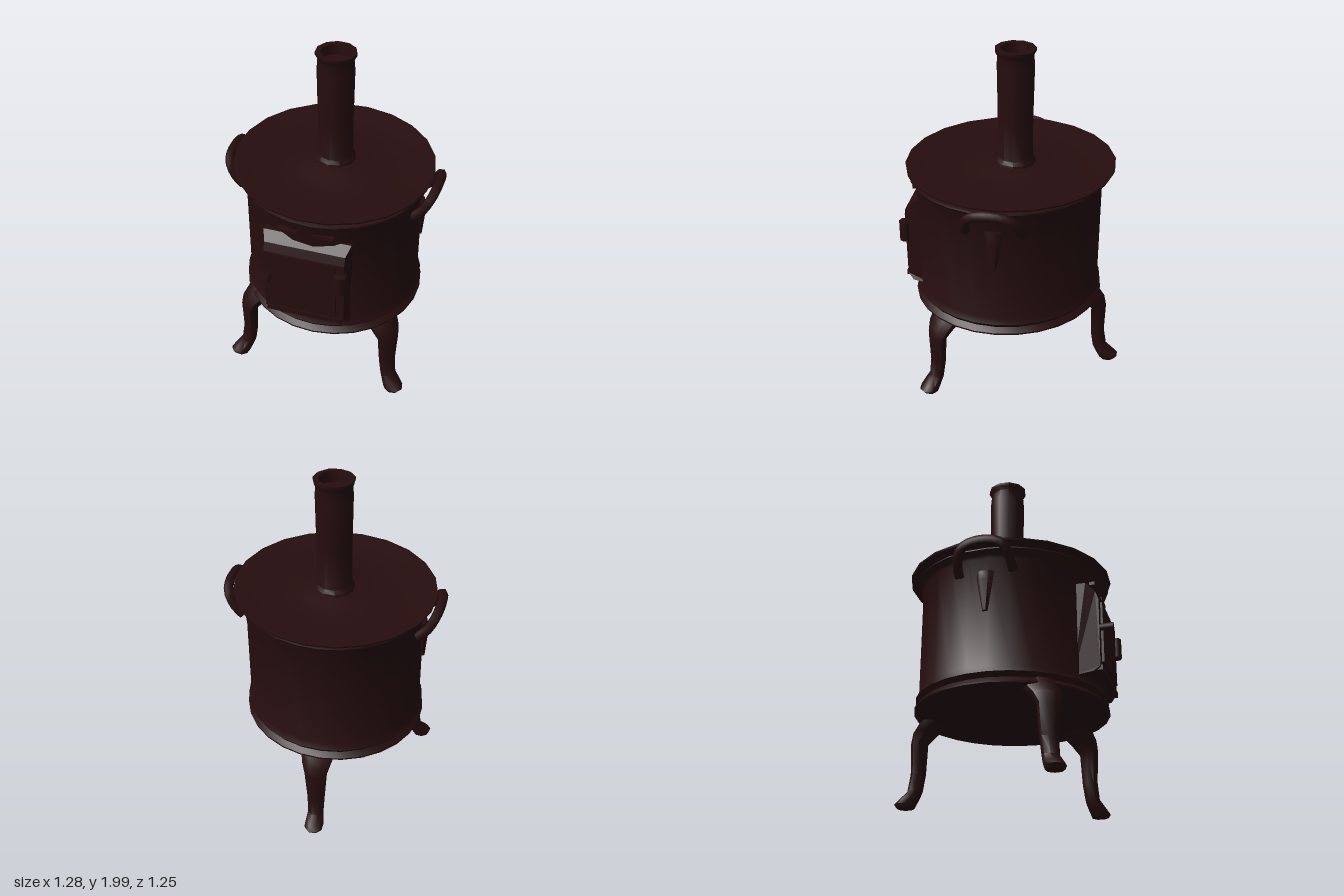
import * as THREE from 'three';
import { toCreasedNormals } from 'three/addons/utils/BufferGeometryUtils.js';

const CX = 0.035, CZ = -0.03; // stove axis
const deg = THREE.MathUtils.degToRad;

// lathe from [radius, y] pairs, listed so that the outside runs upward
function lathe(profile, sides, crease = 0.7) {
  const pts = profile.map(([r, y]) => new THREE.Vector2(r, y));
  return toCreasedNormals(new THREE.LatheGeometry(pts, sides), crease);
}

// loft of horizontal oval rings: [y, inner radius, outer radius, half width], bottom to top
function loft(sections, sides) {
  const pos = [], idx = [];
  const mid = (s) => [s[0], (s[1] + s[2]) / 2, (s[1] + s[2]) / 2, 0];
  const rings = [mid(sections[0]), ...sections, mid(sections[sections.length - 1])];
  for (const [y, r0, r1, w] of rings) {
    for (let i = 0; i < sides; i++) {
      const a = ((i + 0.5) / sides) * Math.PI * 2;
      pos.push(Math.sin(a) * w, y, (r0 + r1) / 2 + (Math.cos(a) * (r1 - r0)) / 2);
    }
  }
  for (let j = 0; j < rings.length - 1; j++) {
    for (let i = 0; i < sides; i++) {
      const a = j * sides + i, b = j * sides + ((i + 1) % sides);
      idx.push(a, b, a + sides, b, b + sides, a + sides);
    }
  }
  const g = new THREE.BufferGeometry();
  g.setAttribute('position', new THREE.Float32BufferAttribute(pos, 3));
  g.setIndex(idx);
  return toCreasedNormals(g, 0.9);
}

export function createModel() {
  const model = new THREE.Group();
  const iron = new THREE.MeshStandardMaterial({ color: 0x260d0e });
  iron.name = 'dark cast iron';

  const add = (parent, name, geometry, x = 0, y = 0, z = 0) => {
    const m = new THREE.Mesh(geometry, iron);
    m.name = name;
    m.position.set(x, y, z);
    parent.add(m);
    return m;
  };
  // group on the stove axis whose +z points outward at the given angle
  const spoke = (name, angle) => {
    const g = new THREE.Group();
    g.name = name;
    g.position.set(CX, 0, CZ);
    g.rotation.y = deg(angle);
    model.add(g);
    return g;
  };

  // drum with flared foot rim, top rim and shallow rounded underside
  const body = add(model, 'body', lathe([
    [0, 0.478], [0.38, 0.48], [0.555, 0.497], [0.556, 0.507], [0.53, 0.535],
    [0.55, 0.562], [0.533, 0.6], [0.533, 1.24], [0.545, 1.262],
    [0.573, 1.282], [0.57, 1.29], [0.52, 1.3],
  ], 28), CX, 0, -0.025);
  body.scale.x = 0.95;

  // thin lid, gently dished and rising to the chimney
  const lid = add(model, 'lid', lathe([
    [0.5, 1.28], [0.54, 1.3], [0.595, 1.317], [0.598, 1.328], [0.57, 1.327],
    [0.5, 1.312], [0.3, 1.308], [0.2, 1.316], [0.13, 1.332], [0.05, 1.335],
  ], 22), CX, 0, -0.035);
  lid.scale.x = 0.96;

  // chimney with base collar, flared lip and recessed top
  add(model, 'chimney', lathe([
    [0.118, 1.31], [0.116, 1.345], [0.1, 1.365], [0.1, 1.6], [0.105, 1.9],
    [0.1, 1.96], [0.114, 1.985], [0.114, 2.0], [0.084, 2.0], [0.08, 1.94], [0, 1.93],
  ], 11), 0.046, 0, -0.055);

  // three bowed legs with turned-out feet
  const legGeo = loft([
    [0.01, 0.565, 0.665, 0.05], [0.03, 0.555, 0.68, 0.057], [0.055, 0.54, 0.655, 0.054],
    [0.1, 0.52, 0.605, 0.047], [0.2, 0.505, 0.588, 0.052], [0.38, 0.5, 0.592, 0.067],
    [0.44, 0.44, 0.58, 0.088], [0.49, 0.37, 0.545, 0.105], [0.56, 0.36, 0.5, 0.1],
  ], 8);
  const legs = [['rightLeg', -81.8, 0], ['frontLeg', 23, 0.015], ['backLeg', 152.2, 0]];
  for (const [name, angle, out] of legs) add(spoke(name, angle), 'leg', legGeo, 0, 0, out);

  // loop handles on opposite sides, each over a tapered bracket
  const half = [[0.155, 1.15, 0.5], [0.15, 1.2, 0.55], [0.125, 1.27, 0.59], [0.06, 1.3, 0.605]];
  const path = [
    ...half.map(([x, y, z]) => new THREE.Vector3(-x, y, z)),
    ...half.map(([x, y, z]) => new THREE.Vector3(x, y, z)).reverse(),
  ];
  const handleGeo = new THREE.TubeGeometry(new THREE.CatmullRomCurve3(path), 16, 0.028, 6);
  const bracketGeo = loft([[0.92, 0.49, 0.53, 0.015], [1.1, 0.49, 0.545, 0.045], [1.16, 0.49, 0.53, 0.05]], 6);
  for (const [name, angle] of [['leftHandle', 61.4], ['rightHandle', 241.4]]) {
    const g = spoke(name, angle);
    add(g, 'loop', handleGeo);
    add(g, 'bracket', bracketGeo);
  }

  // fire door: housing from a side profile, tapered toward its face
  const door = spoke('fireDoor', -28.6);
  const side = new THREE.Shape([
    [0.42, 0.6], [0.53, 0.615], [0.565, 0.65], [0.568, 1.05], [0.55, 1.1], [0.5, 1.15], [0.42, 1.15],
  ].map(([r, y]) => new THREE.Vector2(r, y)));
  const housing = new THREE.ExtrudeGeometry(side, { depth: 0.5, bevelEnabled: false });
  housing.translate(0, 0, -0.25).rotateY(-Math.PI / 2);
  const p = housing.attributes.position;
  for (let i = 0; i < p.count; i++) {
    if (p.getZ(i) > 0.54) p.setX(i, p.getX(i) * 0.92);
  }
  housing.computeVertexNormals();
  add(door, 'housing', housing);

  // raised panel, ledge, vents, hinge block and latch
  add(door, 'panel', new THREE.BoxGeometry(0.37, 0.36, 0.025), 0, 0.87, 0.567);
  add(door, 'ledge', new THREE.BoxGeometry(0.44, 0.03, 0.05), 0, 0.645, 0.55);
  for (const x of [-0.1, 0.1]) {
    add(door, 'vent', new THREE.BoxGeometry(0.12, 0.02, 0.03), x, 1.19, 0.52);
  }
  add(door, 'hinge', new THREE.CylinderGeometry(0.035, 0.035, 0.12, 8), 0.21, 0.93, 0.575);
  const latch = add(door, 'latch', new THREE.CylinderGeometry(0.022, 0.018, 0.12, 8), -0.2, 0.89, 0.58);
  latch.rotation.x = Math.PI / 2;

  return model;
}
